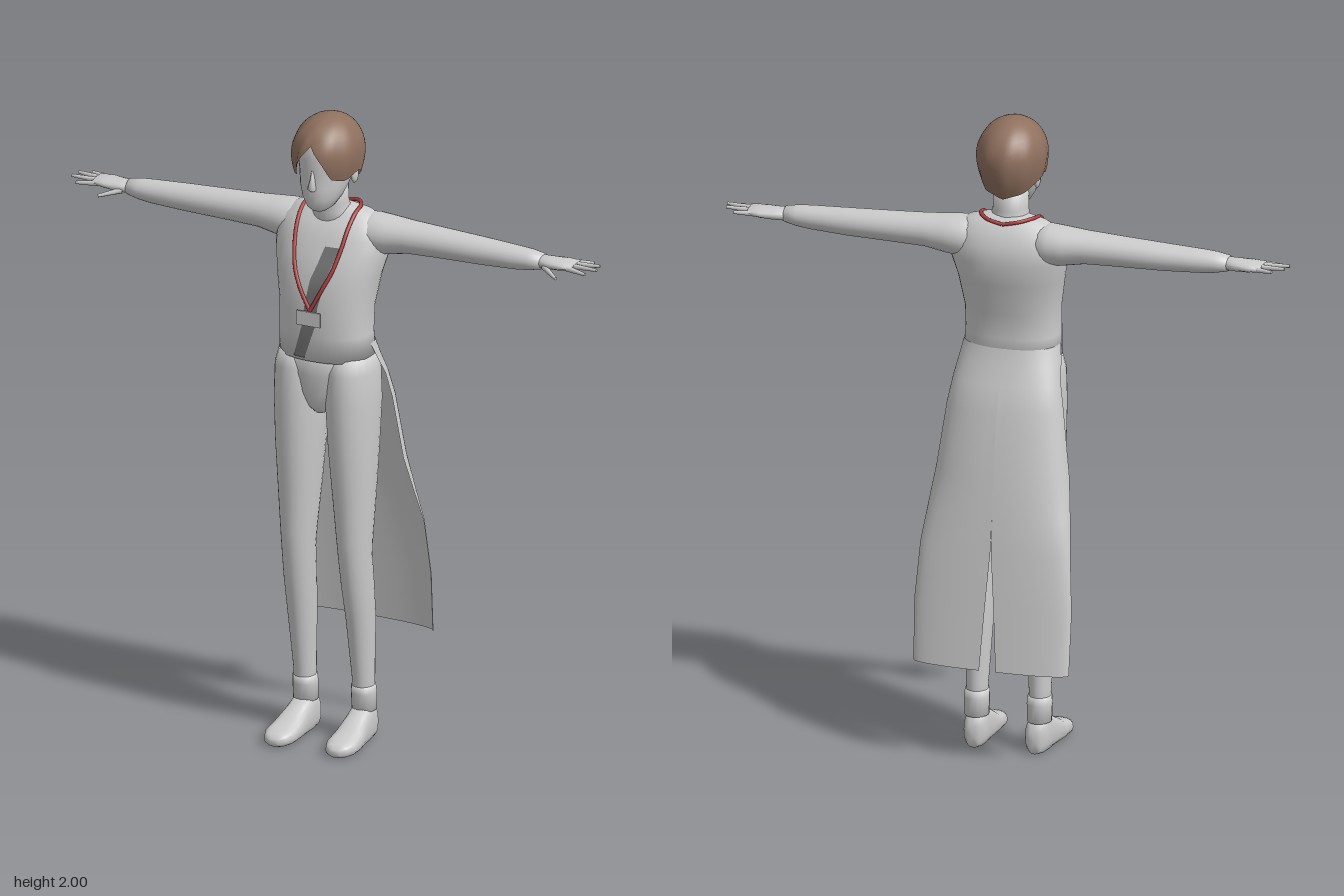
import * as THREE from 'three';

const material = (name, color, side = THREE.FrontSide) => {
  const m = new THREE.MeshStandardMaterial({ color, side });
  m.name = name;
  return m;
};

// Superellipse torso rings: y, half width, front z, back z
const TORSO = [
  [1.24, 0.150, 0.155, -0.060], [1.32, 0.147, 0.160, -0.050], [1.40, 0.147, 0.160, -0.060],
  [1.50, 0.163, 0.155, -0.085], [1.57, 0.180, 0.125, -0.100], [1.62, 0.180, 0.105, -0.092],
  [1.66, 0.168, 0.080, -0.076], [1.69, 0.125, 0.050, -0.052], [1.705, 0.060, 0.040, -0.030],
];
const POWER = 2.3;

// Front surface of the torso at (x, y)
function frontZ(x, y) {
  let i = 0;
  while (i < TORSO.length - 2 && y > TORSO[i + 1][0]) i++;
  const a = TORSO[i], b = TORSO[i + 1], t = (y - a[0]) / (b[0] - a[0]);
  const [rx, zf, zb] = [1, 2, 3].map((k) => a[k] + (b[k] - a[k]) * t);
  const drop = Math.max(0, 1 - Math.abs(x / rx) ** POWER) ** (1 / POWER);
  return (zf + zb) / 2 + ((zf - zb) / 2) * drop;
}

// Grid of points to a smooth surface; rows may wrap around
function surface(rows, wrap, caps) {
  const n = rows[0].length, pos = rows.flat(2), index = [];
  for (let i = 0; i < rows.length - 1; i++) {
    for (let j = 0; j < (wrap ? n : n - 1); j++) {
      const k = (j + 1) % n;
      const a = i * n + j, b = i * n + k, c = a + n, d = b + n;
      index.push(a, b, d, a, d, c);
    }
  }
  if (caps) {
    [0, rows.length - 1].forEach((r, end) => {
      const id = pos.length / 3;
      pos.push(...[0, 1, 2].map((k) => rows[r].reduce((s, p) => s + p[k], 0) / n));
      for (let j = 0; j < n; j++) {
        const a = r * n + j, b = r * n + ((j + 1) % n);
        index.push(id, end ? a : b, end ? b : a);
      }
    });
  }
  const g = new THREE.BufferGeometry();
  g.setAttribute('position', new THREE.Float32BufferAttribute(pos, 3));
  g.setIndex(index);
  g.computeVertexNormals();
  return g;
}

// Closed loft along an axis; ring = [x, y, z, radiusU, radiusV], U and V follow the axis cyclically
function loft(axis, rings, n = 24, power = 2) {
  const u = (axis + 1) % 3, v = (axis + 2) % 3;
  const bend = (c) => Math.sign(c) * Math.abs(c) ** (2 / power);
  return surface(rings.map((r) => Array.from({ length: n }, (_, j) => {
    const a = (j / n) * Math.PI * 2, p = [r[0], r[1], r[2]];
    p[u] += r[3] * bend(Math.cos(a));
    p[v] += r[4] * bend(Math.sin(a));
    p[1] = Math.max(0, p[1]);
    return p;
  })), true, true);
}

// Vertical loft from [y, half width, front z, back z] and an x centre
const upright = (rings, cx = () => 0, n = 24, power = 2) => loft(1,
  rings.map(([y, rx, zf, zb]) => [cx(y), y, (zf + zb) / 2, (zf - zb) / 2, rx]), n, power);

export function createModel() {
  const model = new THREE.Group();
  model.name = 'standingFigure';
  const grey = material('pale grey', 0xcccccc);
  const cloth = material('pale grey cloth', 0xcccccc, THREE.DoubleSide);
  const brown = material('hair brown', 0x8f705e, THREE.DoubleSide);
  const red = material('cord red', 0xb04040);
  const dark = material('tie grey', 0x777777, THREE.DoubleSide);
  const add = (name, geometry, mat = grey) => {
    const mesh = new THREE.Mesh(geometry, mat);
    mesh.name = name;
    model.add(mesh);
    return mesh;
  };

  // Trunk, neck and head
  add('torso', upright(TORSO, undefined, 40, POWER));
  add('pelvis', upright([[1.06, 0.02, 0.11, 0.03], [1.08, 0.045, 0.13, 0], [1.13, 0.09, 0.145, -0.05],
    [1.19, 0.14, 0.15, -0.06], [1.27, 0.145, 0.15, -0.05]]));
  add('neck', upright([[1.64, 0.075, 0.075, -0.05], [1.69, 0.06, 0.075, -0.035],
    [1.72, 0.054, 0.082, -0.03], [1.78, 0.054, 0.09, -0.03]]));
  add('head', upright([[1.712, 0.022, 0.125, 0.08], [1.725, 0.04, 0.141, 0.045], [1.755, 0.059, 0.15, 0.01],
    [1.79, 0.072, 0.151, -0.02], [1.83, 0.08, 0.147, -0.045], [1.88, 0.086, 0.153, -0.06],
    [1.93, 0.08, 0.143, -0.05], [1.97, 0.05, 0.1, -0.01]]));
  add('nose', upright([[1.782, 0.01, 0.152, 0.13], [1.792, 0.014, 0.167, 0.13],
    [1.82, 0.008, 0.158, 0.13], [1.85, 0.004, 0.15, 0.13]], undefined, 10));

  // Hair shell: parted over the brow, lower at the nape, rippled into locks
  const edge = [[0, 1.93], [0.35, 1.885], [0.62, 1.825], [1.1, 1.815], [1.6, 1.835], [2.3, 1.79], [Math.PI, 1.768]];
  const hairEdge = (a) => {
    const i = Math.max(1, edge.findIndex((e) => e[0] >= a - 1e-6));
    const [p, q] = [edge[i - 1], edge[i]];
    return p[1] + ((q[1] - p[1]) * (a - p[0])) / (q[0] - p[0]);
  };
  const hairRows = [];
  for (let i = 0; i <= 14; i++) {
    hairRows.push(Array.from({ length: 48 }, (_, j) => {
      const a = (j / 48) * Math.PI * 2, v = i / 14;
      const y = 2 - (2 - hairEdge(Math.min(a, Math.PI * 2 - a))) * (1 - Math.cos(v * Math.PI / 2));
      const h = y - 1.885;
      const r = (h > 0 ? Math.sqrt(Math.max(0, 1 - (h / 0.115) ** 2)) : 1 - 0.3 * (h / 0.12) ** 2)
        * (1 + 0.022 * v * Math.sin(9 * a + 5 * v));
      return [0.106 * r * Math.sin(a), y, 0.042 + 0.131 * r * Math.cos(a)];
    }));
  }
  add('hair', surface(hairRows.reverse(), true, false), brown);

  // Paired parts
  for (const s of [1, -1]) {
    const side = s > 0 ? 'left' : 'right';
    const across = (rings, n) => {
      const m = rings.map(([x, ...rest]) => [s * x, ...rest]);
      return loft(0, s > 0 ? m : m.reverse(), n);
    };

    add(side + 'Ear', new THREE.SphereGeometry(1, 12, 8).scale(0.01, 0.028, 0.018)
      .translate(s * 0.082, 1.815, 0.03));

    // Sleeve, palm and digits
    add(side + 'Arm', across([[0.08, 1.625, -0.005, 0.06, 0.06], [0.14, 1.625, -0.007, 0.064, 0.072],
      [0.19, 1.626, -0.008, 0.059, 0.068], [0.25, 1.629, -0.009, 0.051, 0.059], [0.35, 1.628, -0.01, 0.047, 0.053],
      [0.5, 1.626, -0.01, 0.042, 0.047], [0.62, 1.626, -0.008, 0.036, 0.041], [0.66, 1.627, -0.008, 0.032, 0.038],
      [0.7, 1.628, -0.008, 0.024, 0.03]], 24));
    add(side + 'Palm', across([[0.68, 1.628, -0.008, 0.02, 0.026], [0.73, 1.628, -0.01, 0.019, 0.036],
      [0.77, 1.63, -0.013, 0.016, 0.043], [0.81, 1.632, -0.013, 0.011, 0.04]], 16));
    const digits = [['Thumb', 0.715, 1.62, 0.015, 0.775, 1.605, 0.055],
      ['Index', 0.795, 1.63, 0.018, 0.862, 1.625, 0.03], ['Middle', 0.795, 1.632, -0.002, 0.888, 1.635, 0.005],
      ['Ring', 0.795, 1.632, -0.022, 0.882, 1.636, -0.028], ['Little', 0.785, 1.63, -0.042, 0.85, 1.632, -0.056]];
    for (const [name, x0, y0, z0, x1, y1, z1] of digits) {
      const p = new THREE.Vector3(s * x0, y0, z0), d = new THREE.Vector3(s * x1, y1, z1).sub(p);
      const g = new THREE.CylinderGeometry(0.005, 0.0095, d.length(), 8).translate(0, d.length() / 2, 0);
      const finger = add(side + name, g);
      finger.position.copy(p);
      finger.quaternion.setFromUnitVectors(new THREE.Vector3(0, 1, 0), d.normalize());
    }

    // Trouser leg, ankle cuff and shoe
    const legX = (y) => s * (0.099 - 0.014 * Math.max(0, Math.min(1, (y - 0.4) / 0.8)));
    add(side + 'Leg', upright([[0.08, 0.03, 0.04, -0.03], [0.2, 0.034, 0.045, -0.034], [0.4, 0.043, 0.08, -0.032],
      [0.5, 0.047, 0.1, -0.022], [0.6, 0.049, 0.115, -0.01], [0.66, 0.053, 0.12, -0.012], [0.8, 0.063, 0.132, -0.03],
      [0.95, 0.072, 0.148, -0.048], [1.1, 0.079, 0.156, -0.065], [1.2, 0.078, 0.152, -0.06],
      [1.25, 0.065, 0.135, -0.04]], legX));
    add(side + 'Cuff', upright([[0.095, 0.037, 0.043, -0.043], [0.15, 0.039, 0.044, -0.04],
      [0.175, 0.037, 0.046, -0.036]], legX, 16));
    add(side + 'Shoe', loft(2, [[0.097, 0.035, -0.045, 0.022, 0.035], [0.097, 0.05, -0.03, 0.034, 0.055],
      [0.098, 0.055, 0.01, 0.038, 0.066], [0.1, 0.042, 0.06, 0.041, 0.052], [0.103, 0.03, 0.11, 0.048, 0.035],
      [0.104, 0.024, 0.16, 0.05, 0.026], [0.104, 0.02, 0.19, 0.038, 0.02], [0.104, 0.016, 0.204, 0.018, 0.012]]
      .map(([x, ...rest]) => [s * x, ...rest]), 20, 2.6));

    // Coat tail: y, half width, back z, front-edge z, slit gap
    const tail = [[1.29, 0.149, -0.054, 0.055, 0], [1.24, 0.158, -0.066, 0.03, 0], [1.18, 0.168, -0.088, -0.005, 0],
      [1.1, 0.182, -0.115, -0.022, 0], [0.9, 0.208, -0.146, -0.045, 0], [0.78, 0.224, -0.16, -0.085, 0],
      [0.68, 0.236, -0.172, -0.122, 0.001], [0.5, 0.248, -0.188, -0.147, 0.014], [0.31, 0.245, -0.205, -0.165, 0.026]];
    add(side + 'CoatTail', surface(tail.map(([y, w, zb, zf, gap]) => Array.from({ length: 15 }, (_, j) => {
      const t = ((s > 0 ? j : 14 - j) / 14) * Math.PI / 2;
      return [s * (gap + (w - gap) * Math.sin(t) ** 0.9), y, zf + (zb - zf) * Math.cos(t) ** 0.8];
    })), false, false), cloth);

    // Neck cord
    const cord = [[0, 1.69, -0.06], [0.05, 1.7, -0.052], [0.083, 1.702, -0.01], [0.088, 1.69, 0.042],
      ...[[0.085, 1.65], [0.079, 1.6], [0.062, 1.53], [0.037, 1.475], [0, 1.405]]
        .map(([x, y]) => [x, y, frontZ(x, y) + 0.006])];
    const path = new THREE.CatmullRomCurve3(cord.map(([x, y, z]) => new THREE.Vector3(s * x, y, z)));
    add(side + 'Cord', new THREE.TubeGeometry(path, 48, 0.006, 8), red);
  }

  // Slanted tie laid on the chest: y, left edge, right edge
  const tie = [[1.25, -0.06, -0.022], [1.3, -0.045, -0.004], [1.35, -0.03, 0.014], [1.42, -0.02, 0.024],
    [1.46, -0.012, 0.035], [1.5, -0.004, 0.044], [1.55, 0.012, 0.058], [1.6, 0.026, 0.074]];
  add('tie', surface(tie.map(([y, a, b]) => [0, 0.5, 1].map((t) => {
    const x = a + (b - a) * t;
    return [x, y, frontZ(x, y) + 0.003];
  })), false, false), dark);

  // Name badge
  add('badge', new THREE.BoxGeometry(0.08, 0.045, 0.005).translate(-0.003, 1.38, 0.168));
  return model;
}
